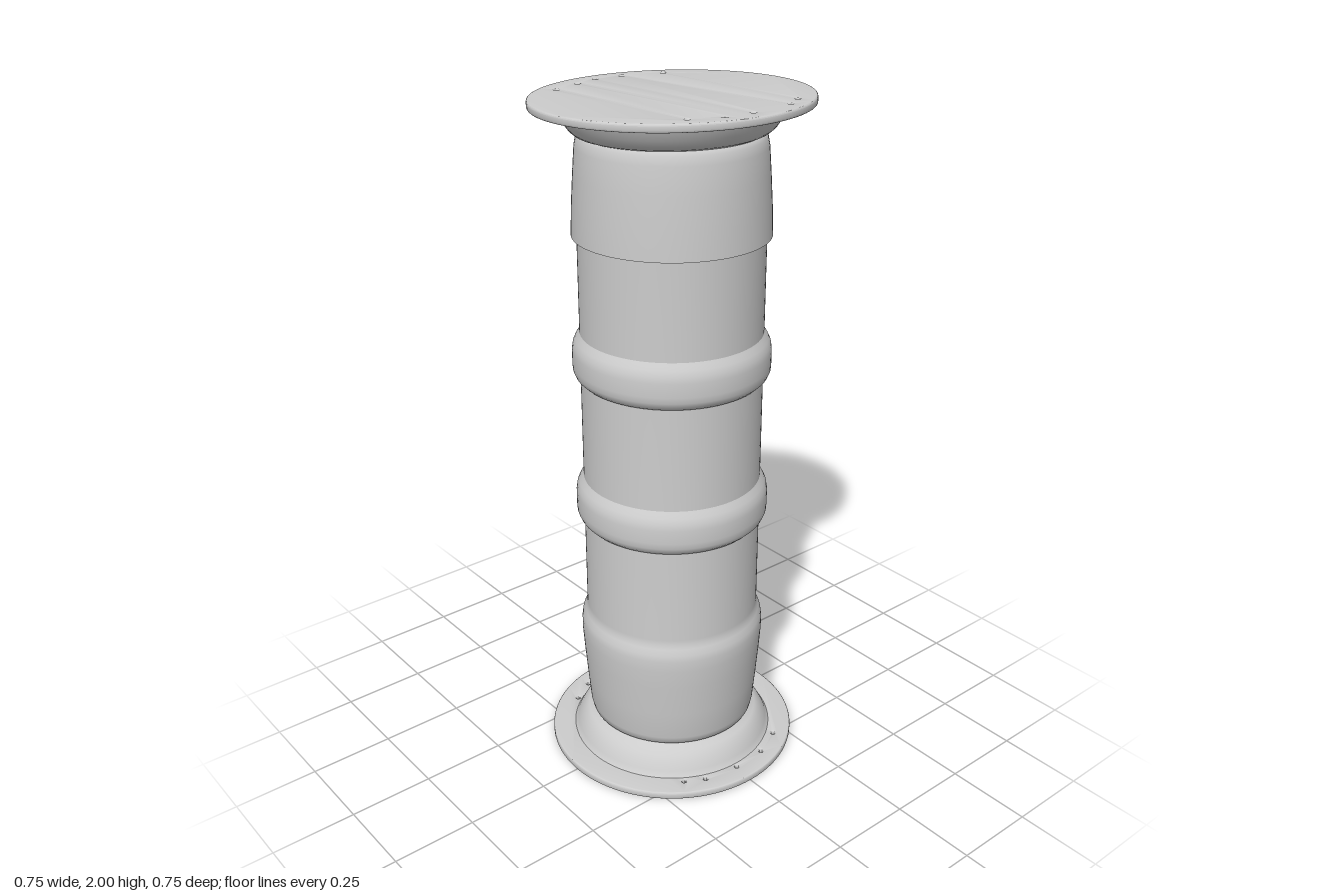
import * as THREE from 'three';
import { toCreasedNormals } from 'three/addons/utils/BufferGeometryUtils.js';

const material = new THREE.MeshStandardMaterial({ color: 0xcccccc });

function turned(name, profile) {
  const points = profile.map(([r, y]) => new THREE.Vector2(r, y));
  const mesh = new THREE.Mesh(toCreasedNormals(new THREE.LatheGeometry(points, 96), 0.7), material);
  mesh.name = name;
  return mesh;
}

// Drilled round plate with a flared hub, standing on y = 0
function flange(name, holes) {
  const group = new THREE.Group();
  group.name = name;
  const bevel = 0.005, thickness = 0.022;
  const shape = new THREE.Shape().absarc(0, 0, 0.377 - bevel, 0, Math.PI * 2);
  for (const [x, z] of holes) {
    shape.holes.push(new THREE.Path().absarc(x, -z, 0.009 + bevel / 2, 0, Math.PI * 2, true));
  }
  const geometry = new THREE.ExtrudeGeometry(shape, {
    depth: thickness - 2 * bevel, bevelThickness: bevel, bevelSize: bevel,
    bevelSegments: 3, curveSegments: 48,
  });
  geometry.rotateX(-Math.PI / 2).translate(0, bevel, 0);
  const plate = new THREE.Mesh(toCreasedNormals(geometry, 0.7), material);
  plate.name = 'plate';
  group.add(plate, turned('hub', [
    [0.31, 0.02], [0.304, 0.026], [0.298, 0.04], [0.287, 0.06], [0.274, 0.078],
    [0.262, 0.088], [0.245, 0.094], [0.235, 0.105],
  ]));
  return group;
}

export function createModel() {
  const model = new THREE.Group();
  model.name = 'column';

  // Plain tube with its thicker lower section
  model.add(turned('tube', [
    [0.22, 0.098], [0.24, 0.1], [0.25, 0.108], [0.255, 0.13], [0.263, 0.22], [0.271, 0.32],
    [0.275, 0.38], [0.275, 0.415], [0.272, 0.435], [0.264, 0.452], [0.259, 0.465], [0.258, 0.48],
    [0.258, 1.65],
  ]));

  // Two raised bands
  for (const y of [0.768, 1.21]) {
    const band = turned('band', [
      [0.256, 0], [0.263, 0.004], [0.273, 0.014], [0.279, 0.028], [0.28, 0.045], [0.28, 0.085],
      [0.277, 0.103], [0.27, 0.118], [0.262, 0.13], [0.256, 0.14],
    ]);
    band.position.y = y;
    model.add(band);
  }

  // Tapered sleeve with a sharp lower lip
  model.add(turned('topSleeve', [
    [0.25, 1.624], [0.273, 1.624], [0.27, 1.7], [0.264, 1.79], [0.258, 1.865],
    [0.253, 1.89], [0.246, 1.901], [0.235, 1.906], [0.2, 1.908],
  ]));

  // Bolt holes as x, z; the four corner pairs line up on both plates
  const corners = [[-0.27, -0.19], [0.27, -0.19], [-0.27, 0.175], [0.27, 0.175], [-0.325, 0.005], [0.32, 0.008]];
  const topHoles = [...corners, [0.305, -0.132], [-0.315, -0.078], [-0.304, 0.08], [0.314, 0.095]];
  const bottomHoles = [...corners, [0.312, -0.1], [-0.303, -0.115], [-0.312, 0.103], [0.303, 0.118]];

  model.add(flange('bottomFlange', bottomHoles));

  // Upper flange is turned over and sits slightly tilted
  const top = flange('topFlange', topHoles.map(([x, z]) => [-x, z]));
  top.rotation.set(0.008, 0, Math.PI + 0.02);
  top.position.y = 1.992;
  model.add(top);
  return model;
}
